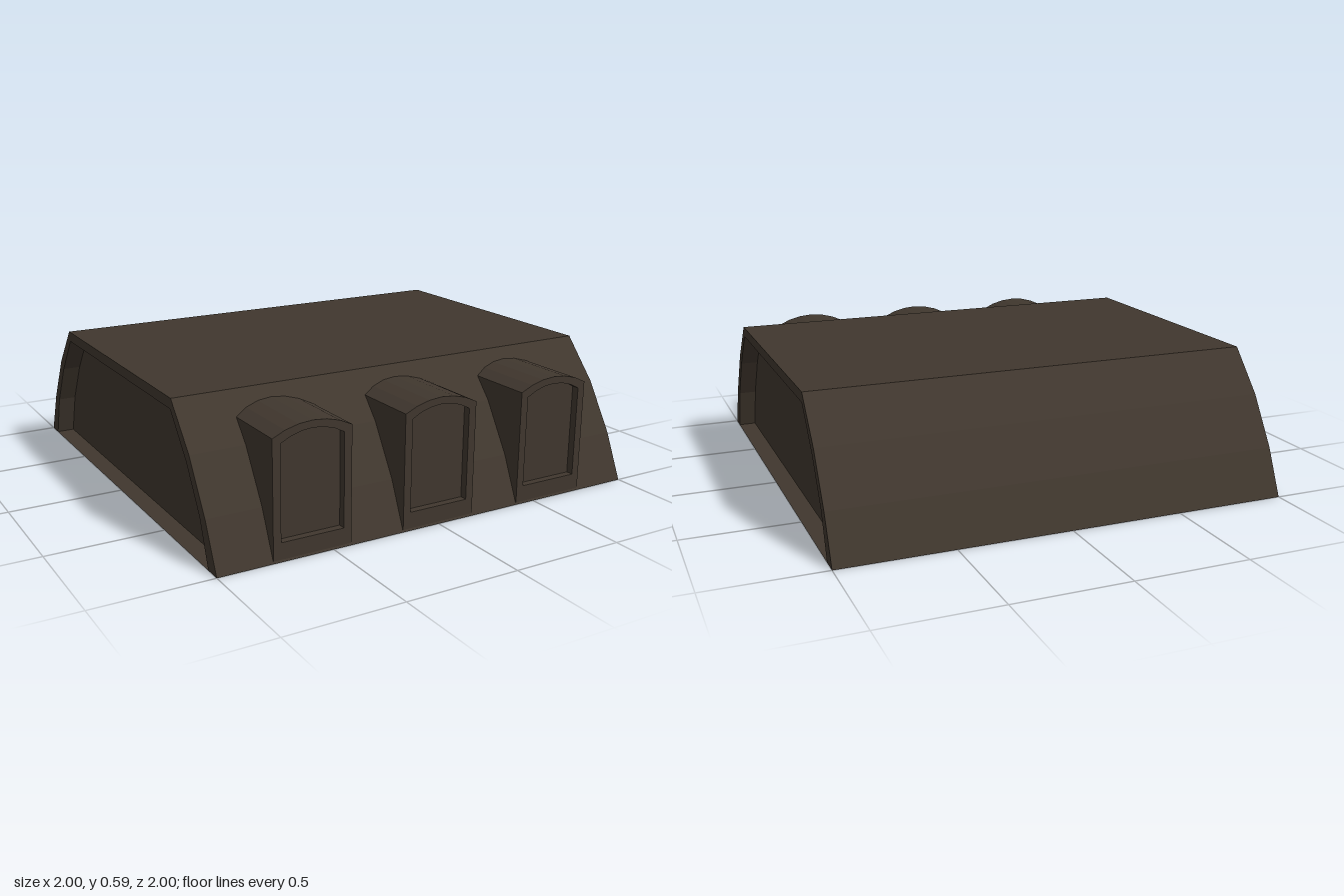
import * as THREE from 'three';

// Half profile of the roof as [z, y], outer edge and inset edge
const OUTER = [[1, 0], [0.91, 0.2], [0.78, 0.41], [0.62, 0.59]];
const INNER = [[0.925, 0], [0.86, 0.19], [0.75, 0.375], [0.61, 0.545]];
const mirrored = (half) => [...half, ...half.map(([z, y]) => [-z, y]).reverse()];
const INSET = 0.08;

// Depth of the sloping roof surface at height y
function slopeZ(y) {
  for (let i = 0; i < 3; i++) {
    const [z0, y0] = OUTER[i], [z1, y1] = OUTER[i + 1];
    if (y <= y1) return z0 + (z1 - z0) * (y - y0) / (y1 - y0);
  }
  return OUTER[3][0];
}

// Flat-faced band between two rings of 3D points
function band(a, b, closed) {
  const pos = [];
  const n = a.length;
  for (let i = 0; i < (closed ? n : n - 1); i++) {
    const j = (i + 1) % n;
    pos.push(...a[i], ...a[j], ...b[j], ...a[i], ...b[j], ...b[i]);
  }
  const g = new THREE.BufferGeometry();
  g.setAttribute('position', new THREE.Float32BufferAttribute(pos, 3));
  g.computeVertexNormals();
  return g;
}

// Window outline: straight sides and a shallow arched head
function archOutline(w, bottom, spring, top) {
  const pts = [[w, bottom]];
  for (const y of [0.2, 0.41]) pts.push([w, y]);
  const rise = top - spring;
  const r = (w * w + rise * rise) / (2 * rise);
  const half = Math.asin(w / r);
  for (let i = 0; i <= 6; i++) {
    const a = half * (1 - i / 3);
    pts.push([r * Math.sin(a), top - r + r * Math.cos(a)]);
  }
  for (const y of [0.41, 0.2]) pts.push([-w, y]);
  pts.push([-w, bottom]);
  return pts;
}

const toShape = (pts) => new THREE.Shape(pts.map(([x, y]) => new THREE.Vector2(x, y)));

export function createModel() {
  const model = new THREE.Group();
  model.name = 'mansardRoof';
  const brown = new THREE.MeshStandardMaterial({ color: 0x40372e, side: THREE.DoubleSide });
  brown.name = 'darkBrown';
  const add = (parent, name, geometry) => {
    const mesh = new THREE.Mesh(geometry, brown);
    mesh.name = name;
    parent.add(mesh);
    return mesh;
  };

  // Roof sheet: front slope, flat top and back slope
  const outer = mirrored(OUTER), inner = mirrored(INNER);
  const at = (pts, x) => pts.map(([z, y]) => [x, y, z]);
  add(model, 'roofSheet', band(at(outer, 1), at(outer, -1), false));

  // Gable ends: rim, recess with its sill, and recessed panel
  for (const s of [1, -1]) {
    const end = new THREE.Group();
    end.name = s > 0 ? 'leftGable' : 'rightGable';
    const ringOut = at(outer, s), ringIn = at(inner, s), ringBack = at(inner, s * (1 - INSET));
    // reverse on one side so that faces point outward
    const order = (r) => (s > 0 ? r : [...r].reverse());
    add(end, 'gableRim', band(order(ringOut), order(ringIn), false));
    add(end, 'gableRecess', band(order(ringIn), order(ringBack), true));
    const panel = new THREE.ShapeGeometry(toShape(inner));
    panel.rotateY(-Math.PI / 2);
    panel.translate(s * (1 - INSET), 0, 0);
    add(end, 'gablePanel', panel);
    model.add(end);
  }

  // Three arched dormers that run back into the front slope
  const FRONT = 0.999, PANE = 0.966;
  const frameOut = archOutline(0.172, 0.01, 0.5, 0.545);
  const frameIn = archOutline(0.138, 0.08, 0.475, 0.515);
  const flat = (pts, z) => pts.map(([x, y]) => [x, y, z]);
  for (const x of [-0.592, -0.003, 0.578]) {
    const dormer = new THREE.Group();
    dormer.name = 'dormer';
    dormer.position.x = x;
    const back = frameOut.map(([px, py]) => [px, py, slopeZ(py)]);
    add(dormer, 'dormerShell', band(back, flat(frameOut, FRONT), true));
    add(dormer, 'windowFrame', band(flat(frameOut, FRONT), flat(frameIn, FRONT), true));
    add(dormer, 'windowReveal', band(flat(frameIn, FRONT), flat(frameIn, PANE), true));
    add(dormer, 'windowPanel', new THREE.ShapeGeometry(toShape(frameIn)).translate(0, 0, PANE));
    model.add(dormer);
  }
  return model;
}
